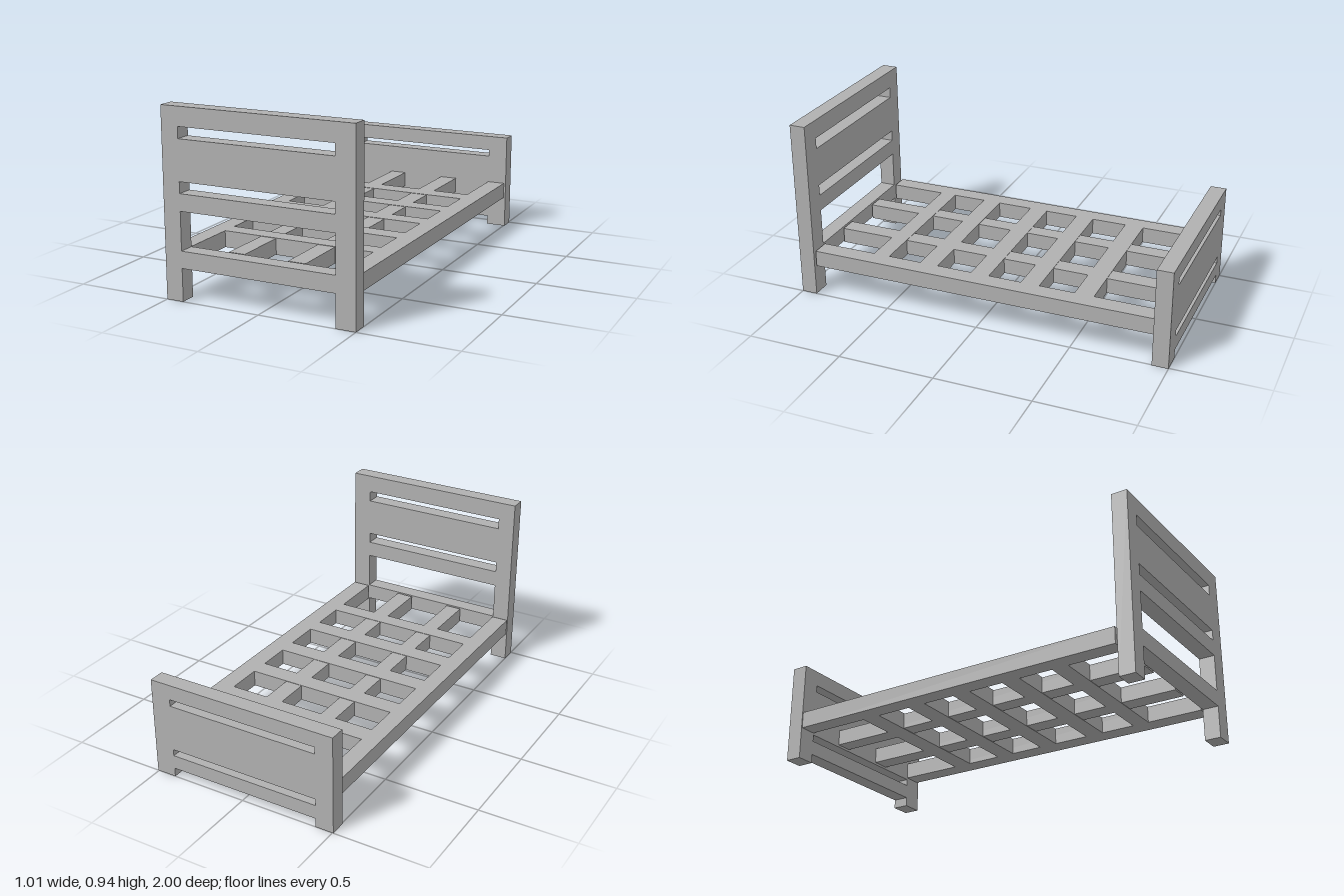
import * as THREE from 'three';

const INNER_L = -0.41, INNER_R = 0.4;

// Rectangular opening between the posts
function slot(y0, y1) {
  const p = new THREE.Path();
  p.moveTo(INNER_L, y0);
  p.lineTo(INNER_L, y1);
  p.lineTo(INNER_R, y1);
  p.lineTo(INNER_R, y0);
  p.closePath();
  return p;
}

// Upright end board: two legs joined by a panel pierced with slots
function endBoard(name, halfWidth, height, railBottom, slots, z0, depth, material) {
  const s = new THREE.Shape([
    [-halfWidth, 0], [INNER_L, 0], [INNER_L, railBottom], [INNER_R, railBottom],
    [INNER_R, 0], [halfWidth, 0], [halfWidth, height], [-halfWidth, height],
  ].map(([x, y]) => new THREE.Vector2(x, y)));
  s.holes = slots.map(([a, b]) => slot(a, b));
  const mesh = new THREE.Mesh(new THREE.ExtrudeGeometry(s, { depth, bevelEnabled: false }), material);
  mesh.position.z = z0;
  mesh.name = name;
  return mesh;
}

// Box given by its limits on each axis
function beam(name, [x0, x1], [y0, y1], [z0, z1], material) {
  const mesh = new THREE.Mesh(new THREE.BoxGeometry(x1 - x0, y1 - y0, z1 - z0), material);
  mesh.position.set((x0 + x1) / 2, (y0 + y1) / 2, (z0 + z1) / 2);
  mesh.name = name;
  return mesh;
}

export function createModel() {
  const group = new THREE.Group();
  group.name = 'bedFrame';
  const grey = new THREE.MeshStandardMaterial({ color: 0xb0b0b0 });
  grey.name = 'plain grey';

  // Tall headboard at the front, low footboard at the back
  group.add(endBoard('headboard', 0.5, 0.94, 0.165,
    [[0.25, 0.443], [0.528, 0.585], [0.788, 0.845]], 0.917, 0.083, grey));
  group.add(endBoard('footboard', 0.505, 0.515, 0.047,
    [[0.12, 0.155], [0.4, 0.436]], -1, 0.083, grey));

  // Side rails
  const zSpan = [-0.917, 0.907], ySpan = [0.165, 0.25];
  group.add(beam('rightSideRail', [-0.5, -0.412], ySpan, zSpan, grey));
  group.add(beam('leftSideRail', [0.4, 0.495], ySpan, zSpan, grey));

  // Lengthwise middle supports, a hair inside the slats
  for (const x of [[-0.207, -0.122], [0.108, 0.2]])
    group.add(beam('middleSupport', x, [0.167, 0.248], zSpan, grey));

  // Cross slats
  for (const z of [[-0.585, -0.485], [-0.3, -0.203], [-0.03, 0.067], [0.253, 0.35], [0.528, 0.615]])
    group.add(beam('crossSlat', [-0.412, 0.4], ySpan, z, grey));

  return group;
}
